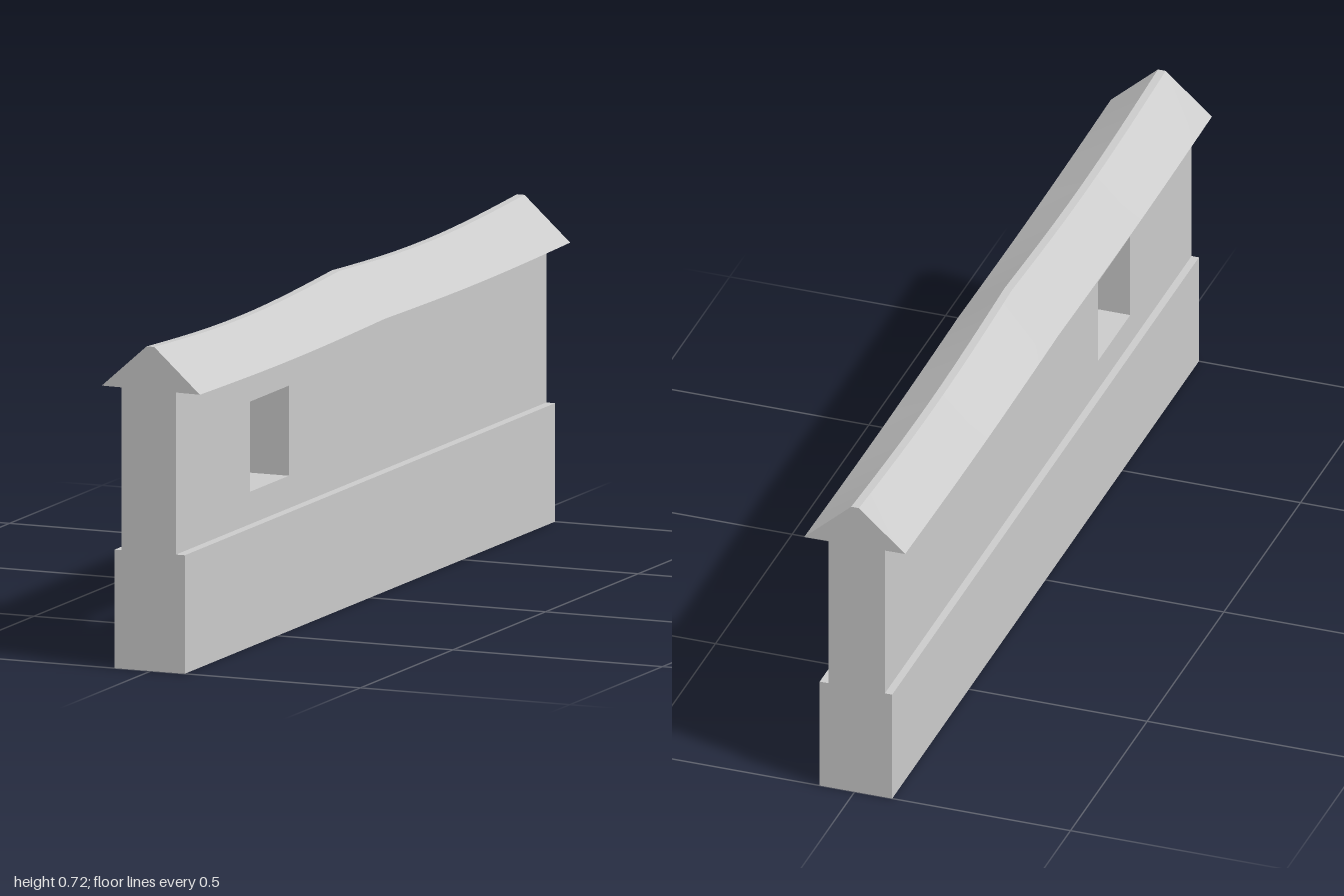
import * as THREE from 'three';
import { toCreasedNormals } from 'three/addons/utils/BufferGeometryUtils.js';

const LENGTH = 2;
const material = new THREE.MeshStandardMaterial({ color: 0xcccccc });

function addMesh(group, name, geometry) {
  const mesh = new THREE.Mesh(geometry, material);
  mesh.name = name;
  group.add(mesh);
  return mesh;
}

// Closed rectangle path, given by its limits
function rectangle(path, x0, x1, y0, y1) {
  path.moveTo(x0, y0);
  path.lineTo(x1, y0);
  path.lineTo(x1, y1);
  path.lineTo(x0, y1);
  path.closePath();
  return path;
}

// Upper wall: side outline with a square window, extruded across the thickness
function wallGeometry() {
  const outline = rectangle(new THREE.Shape(), -1, 1, 0.263, 0.625);
  outline.holes.push(rectangle(new THREE.Path(), -0.6, -0.39, 0.335, 0.535));
  const geometry = new THREE.ExtrudeGeometry(outline, { depth: 0.13, bevelEnabled: false });
  geometry.rotateY(Math.PI / 2);
  geometry.translate(-0.07, 0, 0);
  return geometry;
}

// Coping roof: gable section whose two spans sag between the ends and the middle
function roofGeometry() {
  const section = new THREE.Shape([
    new THREE.Vector2(-0.117, 0.625),
    new THREE.Vector2(0.117, 0.622),
    new THREE.Vector2(0.008, 0.72),
    new THREE.Vector2(-0.01, 0.72),
  ]);
  const geometry = new THREE.ExtrudeGeometry(section, { depth: LENGTH, steps: 24, bevelEnabled: false });
  geometry.translate(0, 0, -LENGTH / 2);
  const p = geometry.attributes.position;
  for (let i = 0; i < p.count; i++) {
    const depth = p.getY(i) > 0.7 ? 0.017 : 0.006;
    p.setY(i, p.getY(i) - depth * Math.sin(Math.PI * Math.abs(p.getZ(i))));
  }
  return toCreasedNormals(geometry, 0.3);
}

export function createModel() {
  const group = new THREE.Group();
  group.name = 'gardenWall';

  // Thicker footing
  addMesh(group, 'base', new THREE.BoxGeometry(0.168, 0.263, LENGTH)).position.set(-0.003, 0.1315, 0);
  addMesh(group, 'wallWithWindow', wallGeometry());
  addMesh(group, 'roof', roofGeometry());

  return group;
}
